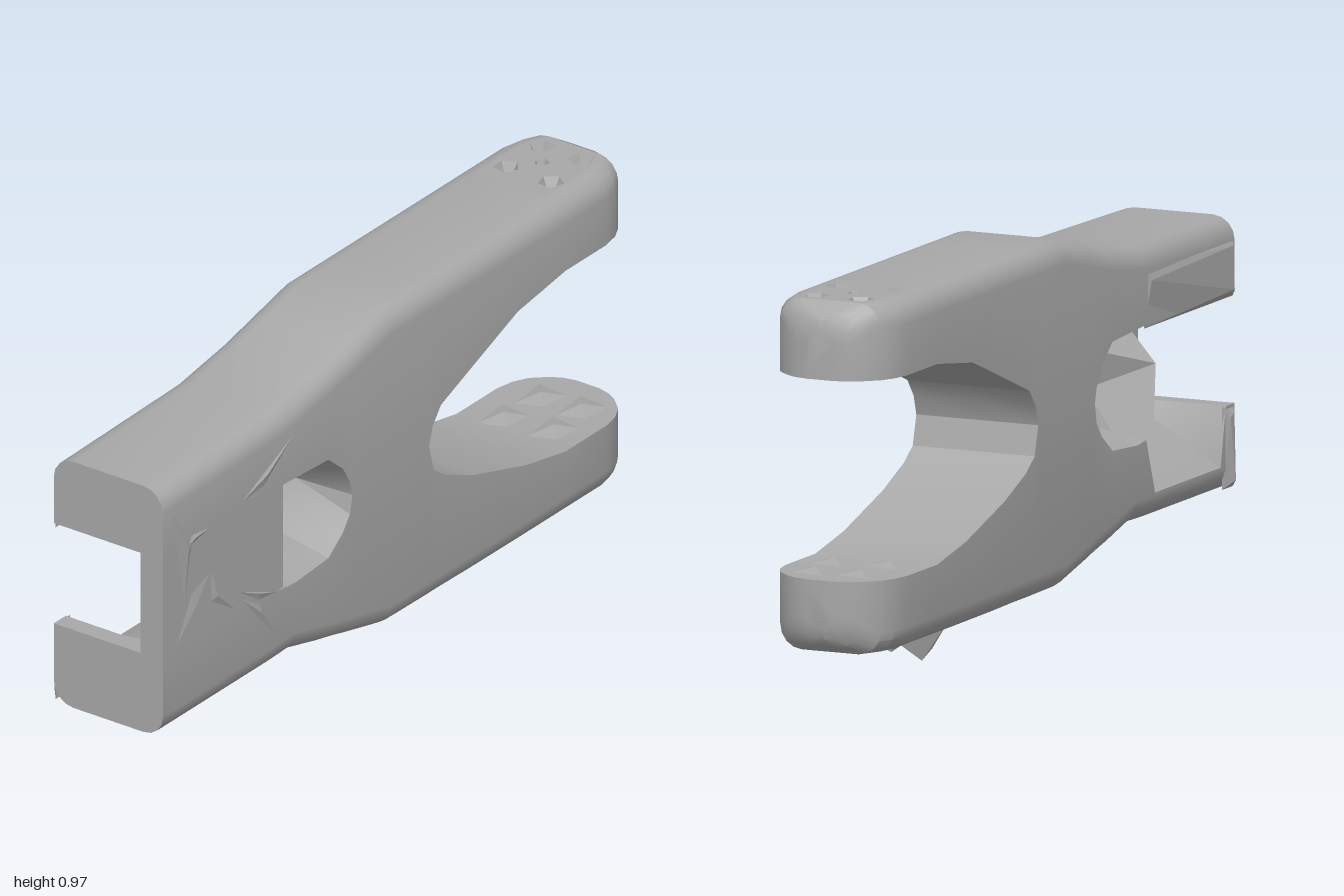
import * as THREE from 'three';
import { toCreasedNormals } from 'three/addons/utils/BufferGeometryUtils.js';
import { ConvexGeometry } from 'three/addons/geometries/ConvexGeometry.js';

const gray = new THREE.MeshStandardMaterial({ color: 0xa8a8a8, side: THREE.DoubleSide });
gray.name = 'cast metal';
const MID = 0.53, ZC = 0.007, W = 0.168, R = 0.06;

// Stations along x: [x, inner edge y, outer edge y, half depth, inner y at mid depth, inner y at the back]
const tip = (inner, outer, s) => [
  [0.68, inner, outer, W], [0.85, inner, outer, W], [0.9, inner, outer, 0.158],
  [0.94, inner, outer, 0.138], [0.975, inner, outer - s * 0.02, 0.1], [0.992, inner, outer - s * 0.04, 0.07],
  [1, inner, outer - s * 0.07, 0.035],
];
const UPPER = [
  [-1, 0.68, 0.87, W], [-0.5, 0.68, 0.88, W, 0.645], [-0.31, 0.67, 0.91, W, 0.635], [-0.25, 0.62, 0.924, W, 0.57],
  [-0.22, 0.57, 0.93, W, MID], [-0.21, MID, 0.933, W], [-0.05, MID, 0.97, W], [0.11, MID, 0.97, W],
  [0.125, 0.58, 0.97, W], [0.16, 0.625, 0.97, W], [0.3, 0.68, 0.97, W], [0.48, 0.75, 0.97, W],
  ...tip(0.78, 0.97, 1),
];
const LOWER = [
  [-1, 0.4, 0.182, W], [-0.95, 0.4, 0.182, W], [-0.92, 0.4, 0.182, W, 0.35, 0.25],
  [-0.55, 0.4, 0.182, W, 0.36, 0.25], [-0.5, 0.39, 0.183, W, 0.415], [-0.45, 0.385, 0.185, W, 0.415],
  [-0.31, 0.395, 0.15, W, 0.425], [-0.25, 0.44, 0.137, W, 0.49],
  [-0.22, 0.48, 0.13, W, MID], [-0.21, MID, 0.127, W], [-0.05, MID, 0.09, W], [0.11, MID, 0.088, W],
  [0.13, 0.455, 0.088, W], [0.18, 0.42, 0.088, W], [0.3, 0.37, 0.086, W], [0.52, 0.305, 0.085, W],
  ...tip(0.275, 0.085, -1),
];

// Section of one arm: sharp inner edges, rounded outer corners
function section([x, inner, outer, w, mid = inner, back = inner], s) {
  const r = Math.min(R, w * 0.9), pts = [[x, inner, ZC + w]];
  for (const side of [1, -1]) {
    for (let i = 0; i <= 4; i++) {
      const a = (side > 0 ? i : 4 - i) / 4 * Math.PI / 2;
      pts.push([x, outer - s * r + s * r * Math.sin(a), ZC + side * (w - r + r * Math.cos(a))]);
    }
  }
  pts.push([x, back, ZC - w], [x, mid, ZC]);
  return pts;
}

// Loft an arm, leaving its outer flat open near the tip for the pitted pad
function armGeometry(stations, s) {
  const rings = stations.map(t => section(t, s)), out = [], n = rings[0].length;
  const tri = (a, b, c) => out.push(...a, ...(s > 0 ? [...b, ...c] : [...c, ...b]));
  for (let i = 0; i < rings.length - 1; i++) {
    const [A, B] = [rings[i], rings[i + 1]], x = stations[i][0];
    for (let j = 0; j < n; j++) {
      const k = (j + 1) % n;
      if (j >= n - 2 && stations[i][1] === MID && stations[i + 1][1] === MID) continue;
      if (j === 5 && x >= 0.68 && x < 0.94) continue;
      tri(A[j], B[j], B[k]);
      tri(A[j], B[k], A[k]);
    }
  }
  const first = rings[0], last = rings[rings.length - 1];
  for (let j = 1; j < n - 1; j++) {
    tri(first[0], first[j], first[j + 1]);
    tri(last[0], last[j + 1], last[j]);
  }
  const g = new THREE.BufferGeometry();
  g.setAttribute('position', new THREE.Float32BufferAttribute(out, 3));
  return toCreasedNormals(g, 0.45);
}

export function createModel() {
  const model = new THREE.Group();
  const add = (name, geometry, parent = model) => {
    const m = new THREE.Mesh(geometry, gray);
    m.name = name;
    parent.add(m);
    return m;
  };
  const shard = (name, pts) =>
    add(name, toCreasedNormals(new ConvexGeometry(pts.map(p => new THREE.Vector3(...p))), 0.1));

  add('upperArm', armGeometry(UPPER, 1));
  add('lowerArm', armGeometry(LOWER, -1));

  // Pitted pads on the outer flats of both prong tips
  const pits = [[0.75, -0.072], [0.75, 0.065], [0.89, -0.06], [0.89, 0.06], [0.82, 0.008]];
  for (const [name, y, s] of [['upperPad', 0.97, 1], ['lowerPad', 0.085, -1]]) {
    const edge = [[0.68, W - R], [0.85, W - R], [0.9, 0.158 - R], [0.94, 0.138 - R]];
    const outline = [...edge, ...edge.map(([x, z]) => [x, -z]).reverse()];
    const shape = new THREE.Shape(outline.map(p => new THREE.Vector2(...p)));
    const pad = new THREE.Group();
    pad.name = name;
    pits.forEach(([x, z], i) => {
      const r = i === 4 ? 0.02 : 0.034, rim = [];
      for (let k = 0; k < 5; k++) {
        const a = k / 5 * Math.PI * 2 + i;
        rim.push(new THREE.Vector2(x + r * Math.cos(a), z + r * Math.sin(a)));
      }
      shape.holes.push(new THREE.Path(rim));
      // Pit walls run from the rim down to a point
      const v = [];
      rim.forEach((p, k) => {
        const q = rim[(k + 1) % 5];
        const wall = [[p.x, 0, -p.y], [x, -s * 0.06, -z], [q.x, 0, -q.y]];
        v.push(...(s > 0 ? wall : wall.reverse()).flat());
      });
      const g = new THREE.BufferGeometry();
      g.setAttribute('position', new THREE.Float32BufferAttribute(v, 3));
      g.computeVertexNormals();
      add('pit', g, pad);
    });
    const flat = add('padFace', new THREE.ShapeGeometry(shape).rotateX(-Math.PI / 2), pad);
    if (s < 0) {
      // Face the lower pad downwards
      const idx = flat.geometry.index.array;
      for (let i = 0; i < idx.length; i += 3) [idx[i], idx[i + 1]] = [idx[i + 1], idx[i]];
      flat.geometry.computeVertexNormals();
    }
    pad.position.set(0, y, ZC);
    model.add(pad);
  }

  // Front wall closing the tail slot, which stays open behind and at the end
  const wall = add('frontWall', new THREE.BoxGeometry(0.5, 0.29, 0.07));
  wall.position.set(-0.75, 0.54, 0.14);

  // Ragged web standing inside the slot, with a wing down to the hollow lower arm
  shard('slotWeb', [
    [-0.93, 0.4, 0.12], [-0.86, 0.66, 0.12], [-0.51, 0.62, 0.12], [-0.51, 0.41, 0.12],
    [-0.72, 0.54, -0.08], [-0.88, 0.4, 0.02], [-0.6, 0.58, 0],
  ]);
  shard('webWing', [
    [-0.72, 0.54, -0.08], [-0.54, 0.24, -0.155], [-0.51, 0.42, 0.06], [-0.75, 0.34, 0], [-0.53, 0.5, 0.02],
  ]);

  // Slightly proud pads on the back of the tail
  const backPads = [['upperBackPad', 0.67, 0.82, -0.5, -0.171], ['lowerBackPad', 0.19, 0.4, -0.94, -0.174]];
  for (const [name, y0, y1, x1, z] of backPads) {
    shard(name, [
      [-1, y0, -0.155], [-1, y1, -0.155], [x1, y1, -0.155], [x1, y0, -0.155],
      [-0.98, y0 + 0.02, z], [-0.98, y1 - 0.02, z + 0.004], [x1 - 0.02, y1 - 0.03, z + 0.004],
    ]);
  }

  // Jagged star creases on the front of the tail
  const F = 0.175;
  const creases = [
    [[-0.97, 0.81], [-0.88, 0.68], [-0.91, 0.52], [-0.9, 0.67]],
    [[-0.9, 0.67], [-0.8, 0.69], [-0.88, 0.7], [-0.87, 0.69]],
    [[-0.95, 0.41], [-0.88, 0.54], [-0.8, 0.57], [-0.87, 0.5]],
    [[-0.8, 0.57], [-0.69, 0.41], [-0.8, 0.48], [-0.78, 0.49]],
    [[-0.44, 0.81], [-0.68, 0.7], [-0.58, 0.71], [-0.57, 0.74]],
    [[-0.69, 0.46], [-0.52, 0.39], [-0.6, 0.4], [-0.6, 0.42]],
    [[-0.68, 0.44], [-0.6, 0.39], [-0.52, 0.26], [-0.59, 0.36]],
  ];
  for (const c of creases) {
    shard('crease', c.map(([x, y], i) => [x, y, i === 3 ? F + 0.006 : F - 0.0005]));
  }

  // Broken spurs under the lower prong
  for (const z of [0.05, -0.035]) {
    const out = Math.sign(z);
    shard('spur', [
      [0.46, 0.09, z + 0.05 * out], [0.68, 0.09, z + 0.02], [0.48, 0.09, z - 0.03 * out],
      [0.47, 0.02, z - 0.01], [0.54, z > 0 ? 0.015 : 0, z - 0.015],
    ]);
  }

  // Chipped grip facets on the inner faces of the prong tips
  for (const [y, s] of [[0.275, 1], [0.78, -1]]) {
    for (const [x, z] of [[0.74, -0.06], [0.76, 0.08], [0.88, -0.05], [0.89, 0.07]]) {
      shard('gripChip', [
        [x - 0.07, y, z - 0.03], [x + 0.05, y, z - 0.04], [x + 0.04, y, z + 0.05],
        [x - 0.04, y, z + 0.04], [x, y + s * 0.012, z],
      ]);
    }
  }
  return model;
}
